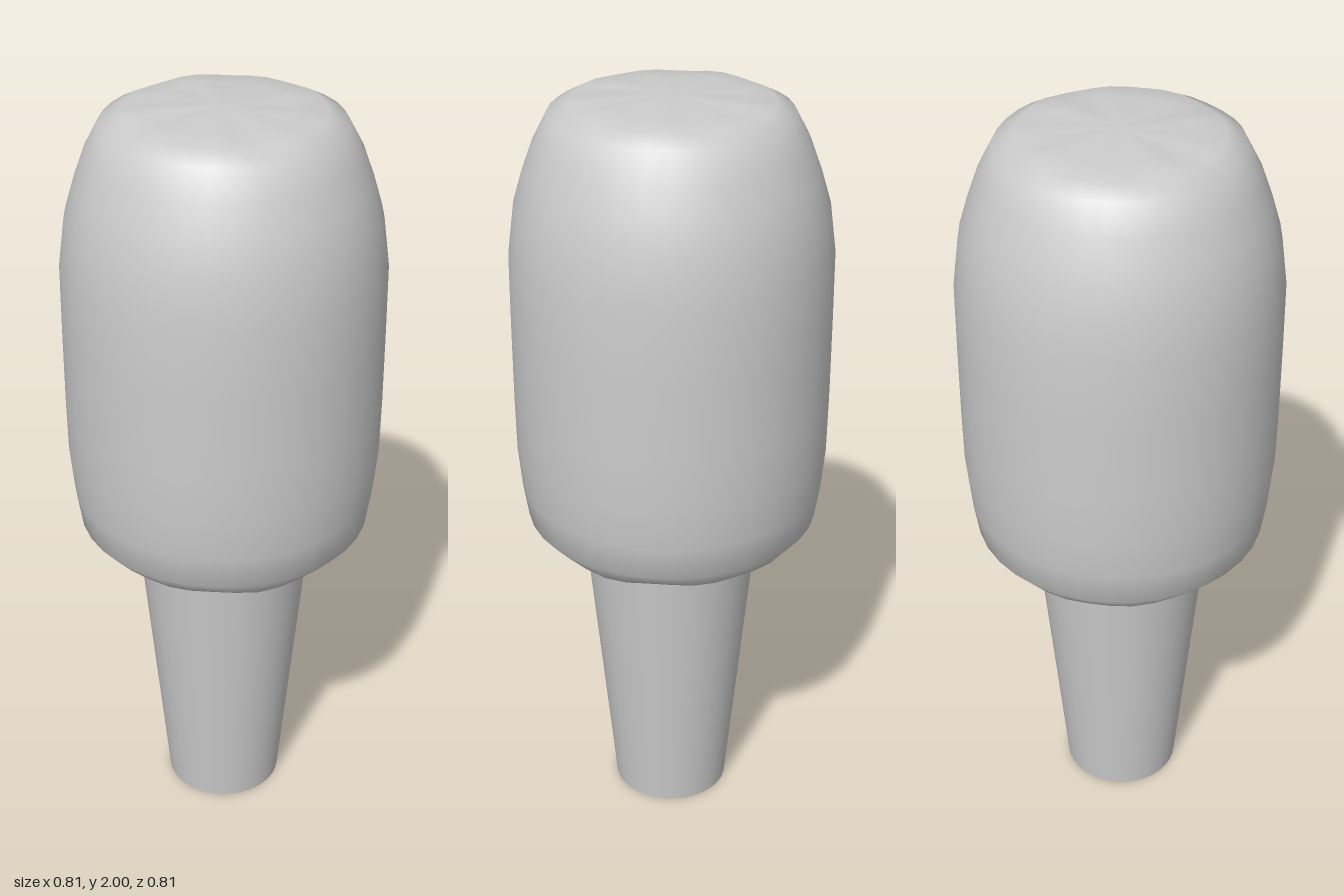
import * as THREE from 'three';
import { mergeVertices } from 'three/addons/utils/BufferGeometryUtils.js';

const SIDES = 36;

// Soft bump that is 1 at the centre and 0 beyond the given width
const bump = (v, centre, width) => {
  const t = Math.min(1, Math.abs(v - centre) / width);
  return (1 - t * t) ** 2;
};

// Padded body: a rounded profile turned about y, with gathered folds at both ends
function cushionGeometry() {
  const profile = [
    [0, 0.772], [0.08, 0.774], [0.16, 0.78], [0.23, 0.788], [0.29, 0.803], [0.335, 0.83],
    [0.38, 0.88], [0.394, 0.97], [0.404, 1.08], [0.406, 1.22], [0.406, 1.42], [0.405, 1.6],
    [0.388, 1.73], [0.364, 1.81], [0.335, 1.89], [0.298, 1.96],
    [0.25, 1.984], [0.18, 1.991], [0.09, 1.996], [0, 2],
  ].map(([r, y]) => new THREE.Vector2(r, y));
  const lathe = new THREE.LatheGeometry(profile, SIDES);
  lathe.deleteAttribute('uv');
  lathe.deleteAttribute('normal');
  const geometry = mergeVertices(lathe, 1e-5);
  const pos = geometry.attributes.position;
  const p = new THREE.Vector3();
  for (let i = 0; i < pos.count; i++) {
    p.fromBufferAttribute(pos, i);
    const r = Math.hypot(p.x, p.z);
    const a = Math.atan2(p.z, p.x);
    const fold = 0.6 * Math.sin(9 * a + 0.5) + 0.4 * Math.sin(5 * a + 1.7);
    if (p.y < 1) {
      // deeper gathers round the lower shoulder
      const depth = bump(r, 0.29, 0.1);
      p.y += 0.012 * fold * depth;
      const s = 1 + 0.015 * fold * depth;
      p.x *= s;
      p.z *= s;
    } else if (p.y > 1.9) {
      // shallow creases spreading from the middle of the top
      p.y += 0.004 * fold * bump(r, 0.2, 0.16);
    }
    pos.setXYZ(i, p.x, p.y, p.z);
  }
  geometry.computeVertexNormals();
  return geometry;
}

export function createModel() {
  const group = new THREE.Group();
  const material = new THREE.MeshStandardMaterial({ color: 0xcccccc });

  const body = new THREE.Mesh(cushionGeometry(), material);
  body.name = 'paddedBody';

  // Tapered stem, wider at the top
  const height = 0.77;
  const stem = new THREE.Mesh(new THREE.CylinderGeometry(0.228, 0.155, height, SIDES), material);
  stem.position.set(-0.003, height / 2, 0.003);
  stem.name = 'taperedStem';

  group.add(body, stem);
  return group;
}
